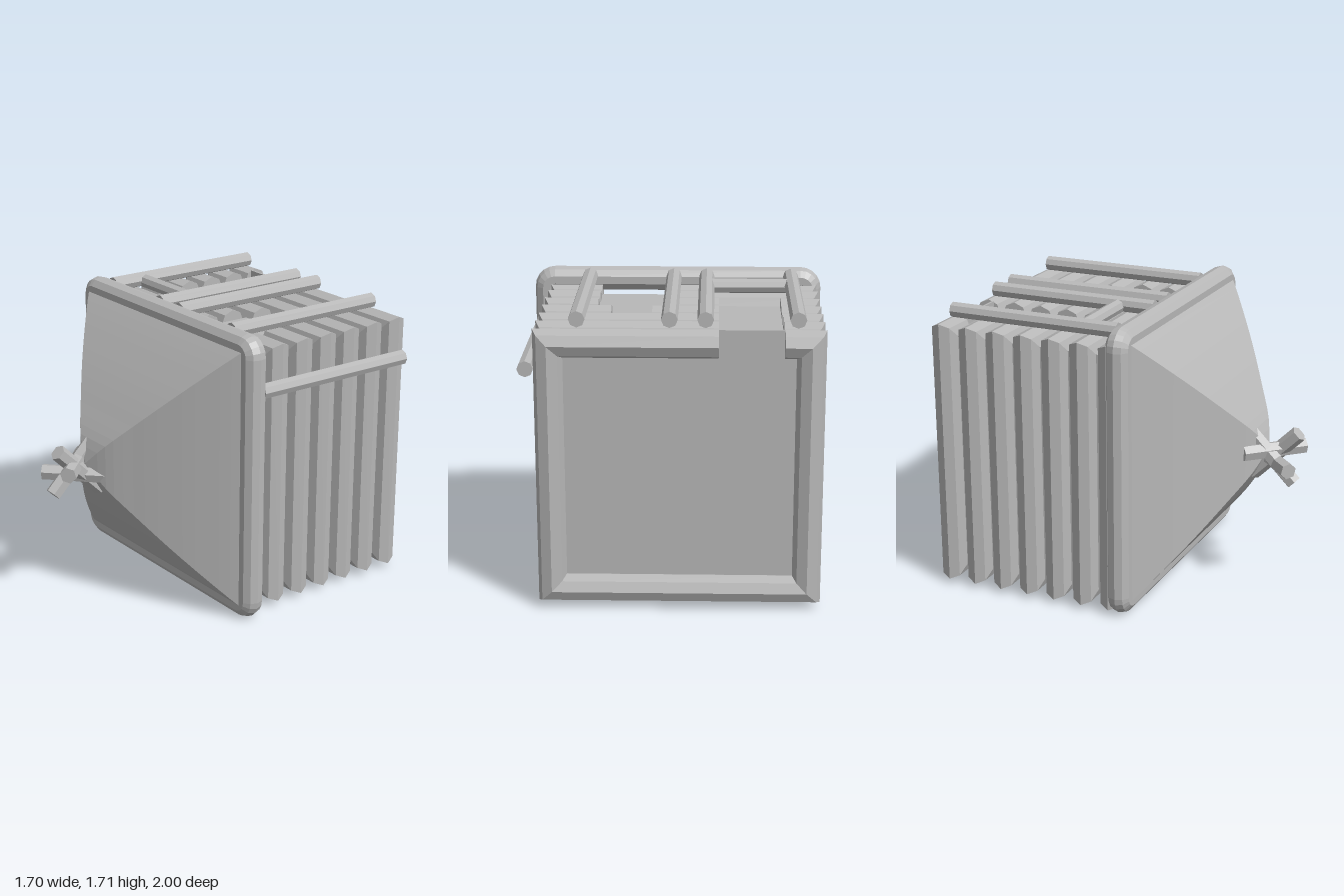
import * as THREE from 'three';

const grey = new THREE.MeshStandardMaterial({ color: 0xb8b8b8 });
grey.name = 'plain grey';

const CX = -0.034, CY = 0.828; // centre of the ribbed body
const H = 0.71;                // half size of the body core

function createPart(parent, name, geometry, x = 0, y = 0, z = 0) {
  let g = geometry;
  if (g.index) g = g.toNonIndexed();
  g.computeVertexNormals(); // crisp facets
  const mesh = new THREE.Mesh(g, grey);
  mesh.name = name;
  mesh.position.set(x, y, z);
  parent.add(mesh);
  return mesh;
}

// Sweeps a polygon section along a clockwise path in XY.
// Each path point is [x, y, nx, ny], with n pointing outward (longer at mitres).
function sweep(path, radius, sides, closed, phase = 0) {
  const pos = [], idx = [], n = path.length;
  for (const [x, y, nx, ny] of path) {
    for (let k = 0; k < sides; k++) {
      const a = phase + (k / sides) * Math.PI * 2;
      const b = Math.cos(a) * radius;
      pos.push(x + nx * b, y + ny * b, Math.sin(a) * radius);
    }
  }
  for (let i = 0; i < (closed ? n : n - 1); i++) {
    for (let k = 0; k < sides; k++) {
      const j = (i + 1) % n, m = (k + 1) % sides;
      const a = i * sides + k, b = i * sides + m, c = j * sides + m, d = j * sides + k;
      idx.push(a, b, d, b, c, d);
    }
  }
  if (!closed) {
    const e = (n - 1) * sides;
    for (let k = 1; k < sides - 1; k++) idx.push(0, k + 1, k, e, e + k, e + k + 1);
  }
  const g = new THREE.BufferGeometry();
  g.setAttribute('position', new THREE.Float32BufferAttribute(pos, 3));
  g.setIndex(idx);
  return g;
}

// Straight bar between two points
function bar(parent, name, from, to, radius, sides) {
  const a = new THREE.Vector3(...from), b = new THREE.Vector3(...to);
  const dir = b.clone().sub(a);
  const g = new THREE.CylinderGeometry(radius, radius, dir.length(), sides);
  const mesh = createPart(parent, name, g);
  mesh.position.copy(a.add(b).multiplyScalar(0.5));
  mesh.quaternion.setFromUnitVectors(new THREE.Vector3(0, 1, 0), dir.normalize());
  return mesh;
}

export function createModel() {
  const model = new THREE.Group();
  model.name = 'ribbedContainer';

  // Body core
  createPart(model, 'bodyCore', new THREE.BoxGeometry(2 * H, 2 * H, 1.08), CX, CY, -0.36);

  // Ribs around the body, interrupted on top by the two recesses
  const ribs = new THREE.Group();
  ribs.name = 'ribs';
  model.add(ribs);
  const hatch = [-0.6 - CX, -0.245 - CX];
  const arch = [0.07 - CX, 0.445 - CX];
  const archTip = [0.13 - CX, 0.36 - CX];
  const corners = [[H, H, 1, 1], [H, -H, 1, -1], [-H, -H, -1, -1], [-H, H, -1, 1]];
  for (let i = 0; i < 7; i++) {
    const z = -0.92 + i * 0.174;
    const cuts = [];
    if (i <= 4) cuts.push(hatch);
    if (i === 3) cuts.push(archTip);
    if (i >= 4) cuts.push(arch);
    const first = cuts[0], last = cuts[cuts.length - 1];
    const path = [[last[1], H, 0, 1], ...corners, [first[0], H, 0, 1]];
    createPart(ribs, 'rib', sweep(path, 0.08, 8, false), CX, CY, z);
    if (cuts.length === 2) {
      const middle = [[first[1], H, 0, 1], [last[0], H, 0, 1]];
      createPart(ribs, 'ribMiddle', sweep(middle, 0.08, 8, false), CX, CY, z);
    }
  }

  // Hatch floor and the raised back wall behind it
  createPart(model, 'hatchFloor', new THREE.BoxGeometry(0.355, 0.02, 0.76), -0.4225, 1.54, -0.52);
  createPart(model, 'hatchBackWall', new THREE.BoxGeometry(0.355, 0.1, 0.015), -0.4225, 1.56, -0.8925);

  // Arched floor of the second recess
  const shape = new THREE.Shape();
  shape.moveTo(0.07, -0.12);
  shape.lineTo(0.445, -0.12);
  shape.lineTo(0.445, 0.35);
  shape.quadraticCurveTo(0.25, 0.55, 0.07, 0.38);
  shape.closePath();
  const archGeo = new THREE.ExtrudeGeometry(shape, { depth: 0.02, bevelEnabled: false, curveSegments: 16 });
  archGeo.rotateX(-Math.PI / 2);
  createPart(model, 'archedFloor', archGeo, 0, 1.535, 0);

  // Rounded square rim at the front
  const rim = [];
  const c = 0.73, bend = 0.05;
  [[1, 1, 90], [1, -1, 0], [-1, -1, -90], [-1, 1, -180]].forEach(([sx, sy, start]) => {
    for (let s = 0; s <= 5; s++) {
      const a = THREE.MathUtils.degToRad(start - s * 18);
      const nx = Math.cos(a), ny = Math.sin(a);
      rim.push([sx * c + nx * bend, sy * c + ny * bend, nx, ny]);
    }
  });
  createPart(model, 'frontRim', sweep(rim, 0.072, 10, true), 0, 0.86, 0.18);

  // Bulging pyramid nose
  const profile = new THREE.SplineCurve([
    [0.8, 0.2], [0.76, 0.25], [0.62, 0.37], [0.45, 0.505], [0.27, 0.635], [0.13, 0.73], [0.001, 0.785],
  ].map(([r, z]) => new THREE.Vector2(r * Math.SQRT2, z))).getPoints(18);
  const nose = new THREE.LatheGeometry(profile, 4, Math.PI / 4);
  nose.rotateX(Math.PI / 2);
  createPart(model, 'nose', nose, 0, 0.86, 0);

  // Crossed hexagonal pegs on the nose tip
  const pegs = new THREE.Group();
  pegs.name = 'tipPegs';
  pegs.position.set(CX, CY, 0.825);
  model.add(pegs);
  const q = 0.14, o = 0.033;
  bar(pegs, 'peg', [o, -q, -q], [o, q, q], 0.048, 6);
  bar(pegs, 'peg', [-o, q, -q], [-o, -q, q], 0.048, 6);
  bar(pegs, 'peg', [-q, o, -q], [q, o, q], 0.048, 6);
  bar(pegs, 'peg', [q, -o, -q], [-q, -o, q], 0.048, 6);

  // Rails along the top, one on the left side, and a crossbar
  for (const x of [-0.67, -0.174, 0.02, 0.518]) {
    bar(model, 'topRail', [x, 1.668, -0.91], [x, 1.668, 0.13], 0.045, 8);
  }
  bar(model, 'sideRail', [0.802, 1.388, -0.91], [0.802, 1.388, 0.14], 0.045, 8);
  bar(model, 'crossbar', [-0.66, 1.66, -0.09], [-0.19, 1.66, -0.09], 0.042, 8);

  return model;
}
